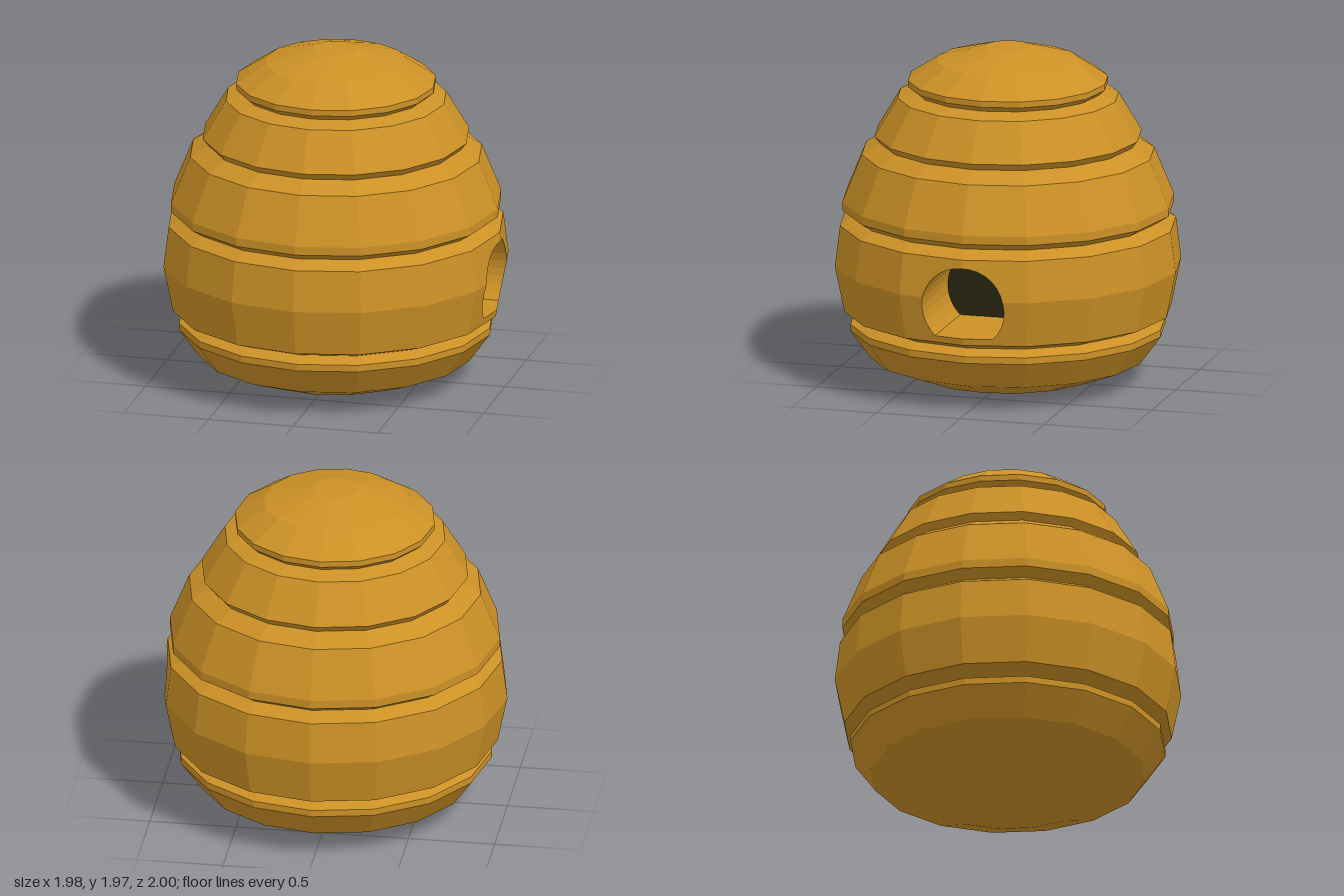
import * as THREE from 'three';

const SIDES = 16;
const STEP = (Math.PI * 2) / SIDES;
const honey = new THREE.MeshStandardMaterial({ color: 0xcc9126, flatShading: true });
honey.name = 'honey';
const dark = new THREE.MeshStandardMaterial({ color: 0x26250f, flatShading: true });
dark.name = 'dark hollow';

function mesh(name, geometry, material) {
  const m = new THREE.Mesh(geometry, material);
  m.name = name;
  return m;
}

// Faceted ring turned from [radius, height] points; skip leaves out sides centred on +x
function band(name, profile, skip = 0) {
  const points = profile.map(([r, y]) => new THREE.Vector2(r, y));
  const start = Math.PI / 2 + (skip / 2) * STEP;
  const geometry = new THREE.LatheGeometry(points, SIDES - skip, start, (SIDES - skip) * STEP);
  return mesh(name, geometry, honey);
}

// Closed strip of faces between two rings with equal point counts
function strip(name, a, b, material) {
  const pos = [];
  a.forEach((p, i) => {
    const j = (i + 1) % a.length;
    [p, a[j], b[i], a[j], b[j], b[i]].forEach((v) => pos.push(v.x, v.y, v.z));
  });
  const geometry = new THREE.BufferGeometry();
  geometry.setAttribute('position', new THREE.Float32BufferAttribute(pos, 3));
  geometry.computeVertexNormals();
  return mesh(name, geometry, material);
}

// Where a ray from the centre at this angle meets a polygon of [z, y] points
function rayHit(polygon, cy, angle) {
  const dz = Math.cos(angle), dy = Math.sin(angle);
  let best = 0;
  polygon.forEach(([z0, y0], i) => {
    const [z1, y1] = polygon[(i + 1) % polygon.length];
    const ez = z1 - z0, ey = y1 - y0;
    const det = ez * dy - ey * dz;
    if (Math.abs(det) < 1e-9) return;
    const t = (ez * (y0 - cy) - ey * z0) / det;
    const s = (dz * (y0 - cy) - dy * z0) / det;
    if (t > 0 && s > -1e-6 && s < 1 + 1e-6) best = Math.max(best, t);
  });
  return [dz * best, cy + dy * best];
}

export function createModel() {
  const hive = new THREE.Group();
  hive.name = 'beehive';

  // Stacked bands with pinched grooves between them
  const belly = [[0.945, 0.42], [1, 0.69], [0.97, 0.93]];
  hive.add(
    band('base', [[0, 0], [0.13, 0], [0.51, 0.035], [0.79, 0.14], [0.91, 0.305], [0.91, 0.345], [0.835, 0.378], [0.945, 0.42]]),
    band('bellyBand', belly, 2),
    band('shoulderBand', [[0.97, 0.93], [0.89, 0.977], [0.957, 1.02], [0.957, 1.07], [0.845, 1.345], [0.74, 1.41]]),
    band('upperBand', [[0.74, 1.41], [0.772, 1.45], [0.638, 1.675], [0.54, 1.708]]),
    band('cap', [[0.54, 1.708], [0.578, 1.74], [0.578, 1.775], [0.41, 1.885], [0.13, 1.965], [0, 1.965]]),
  );

  // Entrance outline: round arch with a flat floor
  const floorY = 0.46, archY = 0.635, archR = 0.245, arcSteps = 24;
  const floorAngle = Math.asin((floorY - archY) / archR);
  const arch = [];
  for (let i = 0; i <= arcSteps; i++) {
    const a = floorAngle + ((Math.PI - 2 * floorAngle) * i) / arcSteps;
    arch.push([archR * Math.cos(a), archY + archR * Math.sin(a)]);
  }

  // Outline of the two belly sides that surround the entrance
  const edge = belly.map(([r, y]) => [r * Math.sin(STEP), y]);
  const outline = [...edge, ...edge.map(([z, y]) => [-z, y]).reverse()];

  // Ring points at every corner of both outlines and at the fold lines
  const cy = belly[1][1];
  const angles = [...arch, ...outline, [0, 0], [0, 2], [1, cy], [-1, cy]]
    .map(([z, y]) => Math.atan2(y - cy, z))
    .sort((p, q) => p - q)
    .filter((a, i, all) => i === 0 || a - all[i - 1] > 1e-4);
  const [[r0, y0], [r1, y1], [r2, y2]] = belly;
  const radius = (y) => (y < y1 ? r0 + ((r1 - r0) * (y - y0)) / (y1 - y0) : r1 + ((r2 - r1) * (y - y1)) / (y2 - y1));
  const onBelly = ([z, y]) => new THREE.Vector3(radius(y) - Math.abs(z) * Math.tan(STEP / 2), y, z);
  const rim = angles.map((a) => onBelly(rayHit(arch, cy, a)));
  const outer = angles.map((a) => onBelly(rayHit(outline, cy, a)));
  hive.add(strip('entrancePanel', rim, outer, honey));

  // Tunnel running inward, closed by a dark end
  const backX = 0.4;
  const back = rim.map((p) => new THREE.Vector3(backX, p.y, p.z));
  hive.add(strip('entranceTunnel', back, rim, honey));
  const endShape = new THREE.Shape(arch.map(([z, y]) => new THREE.Vector2(z, y)));
  const end = mesh('entranceHollow', new THREE.ShapeGeometry(endShape), dark);
  end.rotation.y = Math.PI / 2;
  end.position.x = backX;
  hive.add(end);

  return hive;
}
